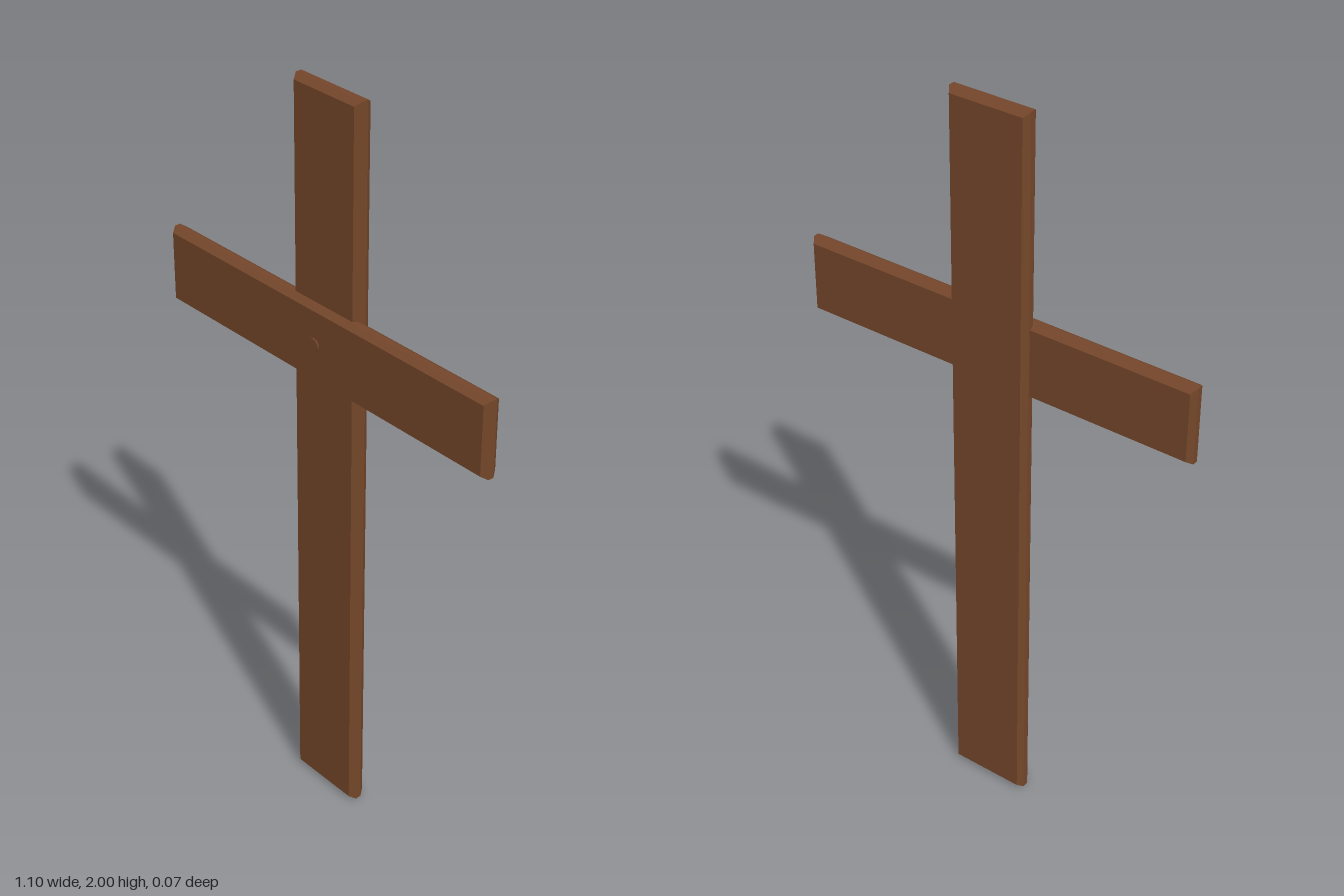
import * as THREE from 'three';

const wood = new THREE.MeshStandardMaterial({ color: 0x74462a });
wood.name = 'brownWood';

// Board with chamfered edges on both faces, centred on x and y, starting at z = 0
function plank(name, width, height, thickness) {
  const bevel = 0.011, bevelDepth = 0.016;
  const w = width / 2 - bevel, h = height / 2 - bevel;
  const outline = new THREE.Shape([
    new THREE.Vector2(-w, -h), new THREE.Vector2(w, -h),
    new THREE.Vector2(w, h), new THREE.Vector2(-w, h),
  ]);
  const geometry = new THREE.ExtrudeGeometry(outline, {
    depth: thickness - 2 * bevelDepth,
    bevelEnabled: true, bevelSegments: 1, bevelSize: bevel, bevelThickness: bevelDepth,
  });
  geometry.translate(0, 0, bevelDepth);
  const mesh = new THREE.Mesh(geometry, wood);
  mesh.name = name;
  return mesh;
}

export function createModel() {
  const cross = new THREE.Group();
  cross.name = 'woodenCross';

  // Upright board at the back
  const upright = plank('upright', 0.22, 2, 0.048);
  upright.position.set(0, 1, -0.036);

  // Crossbar lapped over the front of the upright
  const crossbar = plank('crossbar', 1.104, 0.204, 0.047);
  crossbar.position.set(0, 1.36, -0.015);

  // Shallow peg head holding the boards together
  const peg = new THREE.Mesh(new THREE.CylinderGeometry(0.018, 0.018, 0.008, 12), wood);
  peg.name = 'pegHead';
  peg.rotation.x = Math.PI / 2;
  peg.position.set(-0.012, 1.362, 0.032);

  cross.add(upright, crossbar, peg);
  return cross;
}
